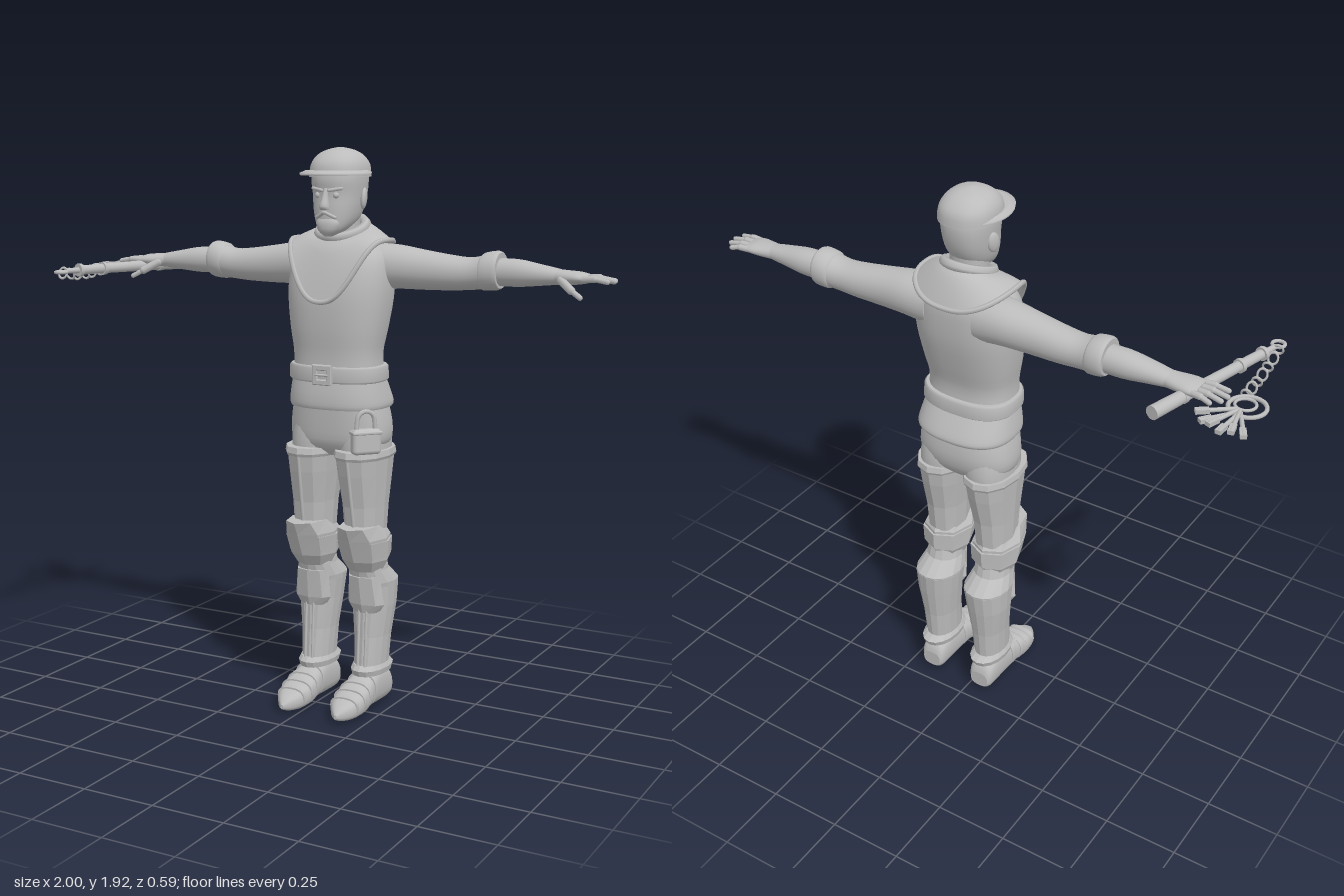
import * as THREE from 'three';
import { RoundedBoxGeometry } from 'three/addons/geometries/RoundedBoxGeometry.js';

const grey = new THREE.MeshStandardMaterial({ color: 0xbcbcbc });
grey.name = 'plain grey';
const greySheet = grey.clone(); // same colour, for open cloth
greySheet.side = THREE.DoubleSide;
greySheet.name = 'plain grey cloth';

const V = (x, y, z) => new THREE.Vector3(x, y, z);
const pw = (c, p) => Math.sign(c) * Math.pow(Math.abs(c), 2 / p);

function add(parent, name, geo, pos, mat = grey) {
  const m = new THREE.Mesh(geo, mat);
  m.name = name;
  if (pos) m.position.set(...pos);
  parent.add(m);
  return m;
}

// Smooth in-between rows for a loft
function refine(rows, sub) {
  const out = [];
  for (let i = 0; i < rows.length - 1; i++) {
    const a = rows[Math.max(i - 1, 0)], b = rows[i], c = rows[i + 1], d = rows[Math.min(i + 2, rows.length - 1)];
    for (let k = 0; k < sub; k++) {
      const t = k / sub;
      out.push(b.map((_, j) => b[j] + 0.5 * t * (c[j] - a[j] + t * (2 * a[j] - 5 * b[j] + 4 * c[j] - d[j] + t * (3 * (b[j] - c[j]) + d[j] - a[j])))));
    }
  }
  out.push(rows[rows.length - 1]);
  return out;
}

// Skin superellipse sections. Row: [along, centre u, half width u, v min, v max]
// axis y: u=x v=z; axis x: u=y v=z; axis z: u=x v=y
function loft(rows, { axis = 'y', p = 2.3, seg = 28, sub = 3, flat = false } = {}) {
  const r = refine(rows, sub), pos = [], idx = [];
  const put = (t, u, v) => pos.push(...(axis === 'y' ? [u, t, v] : axis === 'x' ? [t, u, v] : [u, v, t]));
  const ring = ([t, cu, hu, v0, v1]) => {
    for (let j = 0; j < seg; j++) {
      const a = j / seg * Math.PI * 2;
      put(t, cu + hu * pw(Math.cos(a), p), (v0 + v1) / 2 + (v1 - v0) / 2 * pw(Math.sin(a), p));
    }
  };
  const flip = (axis !== 'y') !== (r[r.length - 1][0] < r[0][0]);
  const tri = (a, b, c) => flip ? idx.push(a, c, b) : idx.push(a, b, c);
  r.forEach(ring);
  for (let i = 0; i < r.length - 1; i++) for (let j = 0; j < seg; j++) {
    const a = i * seg + j, b = i * seg + (j + 1) % seg;
    tri(a, a + seg, b);
    tri(b, a + seg, b + seg);
  }
  [r[0], r[r.length - 1]].forEach((row, end) => {
    const base = pos.length / 3;
    ring(row);
    put(row[0], row[1], (row[3] + row[4]) / 2);
    for (let j = 0; j < seg; j++) {
      const a = base + j, b = base + (j + 1) % seg;
      end ? tri(base + seg, b, a) : tri(base + seg, a, b);
    }
  });
  let g = new THREE.BufferGeometry();
  g.setAttribute('position', new THREE.Float32BufferAttribute(pos, 3));
  g.setIndex(idx);
  if (flat) g = g.toNonIndexed();
  g.computeVertexNormals();
  return g;
}

// Straight round bar between two points
function rod(parent, name, a, b, r0, r1 = r0, round = false) {
  const len = a.distanceTo(b);
  const m = add(parent, name, round ? new THREE.CapsuleGeometry(r0, len, 4, 8) : new THREE.CylinderGeometry(r1, r0, len, 14));
  m.position.copy(a).lerp(b, 0.5);
  m.quaternion.setFromUnitVectors(V(0, 1, 0), b.clone().sub(a).normalize());
  return m;
}
const tube = (pts, r, closed = false, n = 64) => new THREE.TubeGeometry(new THREE.CatmullRomCurve3(pts, closed), n, r, 6, closed);

function buildHead(body) {
  add(body, 'neck', loft([[1.54, 0, 0.068, -0.145, -0.015], [1.62, 0, 0.06, -0.13, -0.015], [1.72, 0, 0.062, -0.135, 0]]));
  add(body, 'head', loft([[1.632, 0, 0.022, -0.02, 0.03], [1.65, 0, 0.046, -0.06, 0.04], [1.68, 0, 0.066, -0.115, 0.043],
    [1.72, 0, 0.077, -0.145, 0.044], [1.765, 0, 0.083, -0.16, 0.042], [1.81, 0, 0.087, -0.165, 0.048], [1.85, 0, 0.085, -0.16, 0.04]]));
  add(body, 'nose', loft([[1.715, 0, 0.016, 0.03, 0.062], [1.727, 0, 0.016, 0.03, 0.07], [1.76, 0, 0.009, 0.03, 0.057], [1.785, 0, 0.008, 0.03, 0.048]], { seg: 12 }));
  add(body, 'beard', loft([[1.628, 0, 0.014, 0, 0.036], [1.645, 0, 0.034, -0.01, 0.05], [1.67, 0, 0.043, -0.01, 0.052], [1.685, 0, 0.036, 0, 0.047]]));
  for (const s of [-1, 1]) {
    rod(body, 'moustache', V(0.003 * s, 1.706, 0.052), V(0.033 * s, 1.69, 0.04), 0.006, 0.006, true);
    rod(body, 'eyebrow', V(0.014 * s, 1.778, 0.046), V(0.052 * s, 1.784, 0.032), 0.006, 0.006, true);
    add(body, 'eye', new THREE.SphereGeometry(0.011, 12, 8), [0.033 * s, 1.762, 0.032]);
    const ear = add(body, 'ear', new THREE.SphereGeometry(1, 14, 10), [0.085 * s, 1.75, -0.065]);
    ear.scale.set(0.011, 0.036, 0.023);
    ear.rotation.set(-0.2, 0.3 * s, 0);
  }
  add(body, 'capCrown', loft([[1.82, 0, 0.096, -0.172, 0.052], [1.86, 0, 0.092, -0.166, 0.045], [1.89, 0, 0.074, -0.14, 0.02],
    [1.908, 0, 0.043, -0.108, -0.012], [1.917, 0, 0.006, -0.066, -0.055]]));
  const brim = loft([[1.826, 0, 0.112, -0.166, 0.11], [1.834, 0, 0.113, -0.168, 0.113], [1.842, 0, 0.098, -0.166, 0.09]], { sub: 1, p: 2 });
  add(body, 'capBrim', brim);
}

// Draped collar with a pointed front
function buildCowl(body) {
  const at = (a, k) => {
    const c = Math.cos(a), s = Math.sin(a), h = Math.pow(k, 0.6);
    const yIn = 1.652 - 0.03 * s;
    const yOut = 1.615 - (s > 0 ? 0.2 * s * s * s : 0.05 * s * s);
    return V((0.078 * (1 - h) + 0.168 * h) * pw(c, 2 + 0.4 * k), yIn + (yOut - yIn) * k,
      -0.075 + (0.078 * (1 - h) + (s > 0 ? 0.16 : 0.148) * h) * pw(s, 2 + 0.4 * k));
  };
  const n = 48, rings = 8, pos = [], idx = [], loop = k => Array.from({ length: n }, (_, j) => at(j / n * Math.PI * 2, k));
  for (let i = 0; i <= rings; i++) loop(i / rings).forEach(q => pos.push(q.x, q.y, q.z));
  for (let i = 0; i < rings; i++) for (let j = 0; j < n; j++) {
    const a = i * n + j, b = i * n + (j + 1) % n;
    idx.push(a, b, a + n, b, b + n, a + n);
  }
  const g = new THREE.BufferGeometry();
  g.setAttribute('position', new THREE.Float32BufferAttribute(pos, 3));
  g.setIndex(idx);
  g.computeVertexNormals();
  add(body, 'cowl', g, null, greySheet);
  add(body, 'cowlHem', tube(loop(1), 0.009, true, 96));
  add(body, 'collarRoll', tube(loop(0), 0.017, true, 64));
}

function buildTorso(body) {
  add(body, 'tunic', loft([[1.17, 0, 0.155, -0.165, 0.06], [1.24, 0, 0.153, -0.16, 0.06], [1.32, 0, 0.166, -0.18, 0.068], [1.42, 0, 0.178, -0.203, 0.07],
    [1.5, 0, 0.178, -0.21, 0.06], [1.56, 0, 0.165, -0.208, 0.04], [1.6, 0, 0.128, -0.19, 0.01], [1.635, 0, 0.07, -0.15, -0.02]], { p: 2.5, seg: 40 }));
  add(body, 'tunicSkirt', loft([[1.055, 0, 0.17, -0.215, 0.066], [1.07, 0, 0.174, -0.22, 0.07], [1.11, 0, 0.168, -0.2, 0.068], [1.16, 0, 0.158, -0.17, 0.06]], { p: 2.5, seg: 40 }));
  add(body, 'belt', loft([[1.145, 0, 0.163, -0.176, 0.066], [1.152, 0, 0.169, -0.183, 0.072], [1.193, 0, 0.168, -0.18, 0.072], [1.2, 0, 0.162, -0.173, 0.066]], { p: 2.5, seg: 40, sub: 1 }));
  const frame = new THREE.Shape([[-1, -1], [1, -1], [1, 1], [-1, 1]].map(([x, y]) => new THREE.Vector2(x * 0.033, y * 0.031)));
  frame.holes.push(new THREE.Path([[-1, -1], [-1, 1], [1, 1], [1, -1]].map(([x, y]) => new THREE.Vector2(x * 0.02, y * 0.018))));
  add(body, 'beltBuckle', new THREE.ExtrudeGeometry(frame, { depth: 0.01, bevelSize: 0.003, bevelThickness: 0.003, bevelSegments: 1 }), [0.005, 1.173, 0.069]);
  rod(body, 'bucklePin', V(-0.02, 1.173, 0.08), V(0.03, 1.173, 0.08), 0.004);
  add(body, 'hips', loft([[0.89, 0, 0.1, -0.15, 0], [0.93, 0, 0.168, -0.185, 0.035], [1, 0, 0.176, -0.197, 0.045], [1.1, 0, 0.155, -0.18, 0.05]], { p: 2.5, seg: 40 }));
}

function buildArm(body, s) {
  const side = rows => rows.map(([x, ...rest]) => [x * s, ...rest]);
  const limb = (name, rows, o = {}) => add(body, name, loft(side(rows), { axis: 'x', p: 2.1, ...o }));
  limb('sleeve', [[0.09, 1.52, 0.082, -0.205, -0.04], [0.18, 1.525, 0.074, -0.205, -0.05], [0.28, 1.518, 0.066, -0.195, -0.062],
    [0.38, 1.512, 0.058, -0.192, -0.07], [0.45, 1.512, 0.053, -0.19, -0.075], [0.5, 1.52, 0.057, -0.196, -0.075]]);
  limb('sleeveCuff', [[0.485, 1.518, 0.054, -0.193, -0.08], [0.495, 1.52, 0.062, -0.202, -0.073], [0.535, 1.525, 0.064, -0.204, -0.074], [0.548, 1.525, 0.058, -0.196, -0.08]], { sub: 2 });
  limb('forearm', [[0.5, 1.52, 0.044, -0.183, -0.095], [0.6, 1.52, 0.045, -0.185, -0.09], [0.68, 1.517, 0.035, -0.175, -0.093], [0.75, 1.514, 0.025, -0.165, -0.1]]);
  limb('palm', [[0.74, 1.514, 0.025, -0.165, -0.1], [0.78, 1.513, 0.023, -0.172, -0.09], [0.82, 1.513, 0.02, -0.178, -0.082], [0.85, 1.512, 0.013, -0.176, -0.085]]);
  [[0.9, -0.179], [0.925, -0.153], [0.932, -0.122], [0.92, -0.09]].forEach(([tip, z], i) => {
    const z0 = -0.166 + i * 0.024;
    rod(body, 'finger', V(0.835 * s, 1.512, z0), V((0.835 + tip) / 2 * s, 1.514, (z0 + z) / 2), 0.011, 0.011, true);
    rod(body, 'fingertip', V((0.835 + tip) / 2 * s, 1.514, (z0 + z) / 2), V(tip * s, 1.507, z), 0.0085, 0.0085, true);
  });
  rod(body, 'thumbBase', V(0.765 * s, 1.506, -0.1), V(0.81 * s, 1.478, -0.07), 0.014, 0.014, true);
  rod(body, 'thumb', V(0.81 * s, 1.478, -0.07), V(0.845 * s, 1.458, -0.056), 0.009, 0.009, true);
}

function buildLeg(body, s) {
  const limb = (name, rows, o = {}) => add(body, name, loft(rows.map(([t, c, ...rest]) => [t, c * s, ...rest]), o));
  const plate = { flat: true, sub: 1, seg: 12, p: 2.1 };
  limb('thigh', [[0.5, 0.1, 0.058, -0.15, -0.015], [0.7, 0.096, 0.064, -0.155, 0.01], [0.9, 0.09, 0.08, -0.19, 0.035], [0.99, 0.085, 0.08, -0.18, 0.03]]);
  limb('thighPlate', [[0.62, 0.098, 0.066, -0.155, 0.02], [0.72, 0.097, 0.072, -0.165, 0.03], [0.83, 0.094, 0.083, -0.19, 0.055], [0.905, 0.093, 0.09, -0.202, 0.068]], plate);
  limb('thighRim', [[0.885, 0.093, 0.09, -0.204, 0.07], [0.895, 0.093, 0.095, -0.209, 0.075], [0.915, 0.093, 0.092, -0.205, 0.071]], plate);
  rod(body, 'thighRidge', V(0.098 * s, 0.64, 0.02), V(0.093 * s, 0.9, 0.067), 0.006);
  limb('kneeCop', [[0.49, 0.1, 0.06, -0.14, -0.005], [0.53, 0.1, 0.08, -0.16, 0.025], [0.61, 0.1, 0.085, -0.163, 0.06], [0.655, 0.1, 0.066, -0.13, 0.083]], { ...plate, seg: 8 });
  limb('kneeStrap', [[0.54, 0.1, 0.083, -0.168, 0.03], [0.6, 0.1, 0.089, -0.17, 0.055]], { ...plate, seg: 8 });
  limb('greave', [[0.13, 0.104, 0.053, -0.185, -0.025], [0.25, 0.104, 0.06, -0.195, -0.035], [0.36, 0.104, 0.074, -0.212, -0.038], [0.44, 0.101, 0.081, -0.222, -0.03]], { ...plate, seg: 16 });
  limb('greaveTop', [[0.43, 0.101, 0.08, -0.22, -0.03], [0.445, 0.101, 0.081, -0.222, -0.024], [0.49, 0.1, 0.066, -0.165, -0.012], [0.54, 0.1, 0.06, -0.15, -0.01]], { ...plate, seg: 16 });
  limb('shinGuard', [[0.34, 0.104, 0.05, -0.1, -0.032], [0.37, 0.104, 0.069, -0.1, -0.022], [0.47, 0.101, 0.06, -0.1, -0.008]], { ...plate, seg: 8 });
  for (const d of [-0.014, 0.014]) rod(body, 'shinRidge', V(0.104 * s + d, 0.14, -0.027), V(0.104 * s + d, 0.36, -0.038), 0.005);
  limb('ankleCuff', [[0.115, 0.104, 0.058, -0.205, -0.012], [0.135, 0.104, 0.062, -0.214, -0.005], [0.15, 0.104, 0.055, -0.19, -0.02]], { ...plate, seg: 16 });

  // Pointed armoured shoe
  const foot = { axis: 'z', p: 2.6, seg: 20 };
  const shoe = [[-0.195, 0.104, 0.035, 0.012, 0.07], [-0.175, 0.104, 0.046, 0, 0.11], [-0.1, 0.104, 0.05, 0, 0.135], [-0.02, 0.104, 0.054, 0.006, 0.115],
    [0.04, 0.104, 0.06, 0, 0.094], [0.1, 0.104, 0.05, 0, 0.07], [0.14, 0.104, 0.026, 0.006, 0.05], [0.162, 0.104, 0.005, 0.018, 0.032]];
  limb('shoe', shoe, foot);
  [[-0.03, 0.057, 0.124], [0.02, 0.061, 0.107], [0.06, 0.061, 0.092], [0.1, 0.053, 0.076]].forEach(([z, w, h]) =>
    limb('shoeLame', [[z - 0.022, 0.104, w - 0.001, 0.008, h + 0.002], [z, 0.104, w, 0.008, h]], { ...foot, sub: 1 }));
}

function buildPadlock(model) {
  const lock = new THREE.Group();
  lock.name = 'padlock';
  lock.position.set(0.238, 0.968, 0.092);
  lock.rotation.y = 0.85;
  add(lock, 'lockBody', new RoundedBoxGeometry(0.1, 0.085, 0.042, 3, 0.014));
  add(lock, 'lockBand', new RoundedBoxGeometry(0.104, 0.012, 0.046, 2, 0.005), [0, 0.03, 0]);
  const arc = Array.from({ length: 9 }, (_, i) => V(0.03 * Math.cos(i / 8 * Math.PI), 0.07 + 0.03 * Math.sin(i / 8 * Math.PI), 0));
  add(lock, 'shackle', tube([V(0.034, 0.03, 0), ...arc, V(-0.034, 0.03, 0)], 0.008, false, 32));
  model.add(lock);
}

function buildKeys(model) {
  const y = 1.485;
  // Baton with a ring on its tip
  const at = (t, dy = 0) => V(-0.715 - 0.145 * t, y + 0.007 + dy, -0.295 + 0.535 * t);
  rod(model, 'batonHandle', at(0), at(0.25), 0.023, 0.021);
  rod(model, 'batonShaft', at(0.22), at(0.9), 0.02, 0.016);
  rod(model, 'batonTip', at(0.88), at(1), 0.011, 0.009);
  for (const t of [0.24, 0.7, 0.89]) rod(model, 'batonBand', at(t - 0.012), at(t + 0.012), 0.023);
  add(model, 'batonRing', new THREE.TorusGeometry(0.02, 0.006, 8, 20), [-0.861, y + 0.005, 0.262]).rotation.x = Math.PI / 2;
  // Key ring and fanned keys
  const c = V(-0.93, y, -0.107);
  add(model, 'keyRing', new THREE.TorusGeometry(0.057, 0.007, 8, 36), c.toArray()).rotation.x = Math.PI / 2;
  add(model, 'innerRing', new THREE.TorusGeometry(0.032, 0.005, 8, 28), [-0.925, y + 0.008, -0.11]).rotation.x = Math.PI / 2;
  for (let i = 0; i < 6; i++) {
    const a = -0.5 + i * 0.28, dir = V(Math.sin(a), 0, -Math.cos(a)), base = V(-0.922, y + (i % 2) * 0.01 - 0.002, -0.135);
    const to = d => base.clone().addScaledVector(dir, d);
    rod(model, 'keyShank', to(0.01), to(0.13), 0.006, 0.008);
    const bit = add(model, 'keyBit', new THREE.BoxGeometry(0.02, 0.014, 0.042), to(0.115).toArray());
    bit.rotation.y = -a;
  }
  // Chain from the ring to the baton tip
  for (let i = 0; i < 7; i++) {
    const t = i / 6, link = add(model, 'chainLink', new THREE.TorusGeometry(0.019, 0.0045, 6, 16),
      [-0.897 + 0.026 * t, y - 0.012 * Math.sin(Math.PI * t), -0.045 + 0.285 * t]);
    link.scale.x = 0.8;
    link.rotation.set(i % 2 ? 0.35 : -0.35, 0.2, 0);
  }
}

export function createModel() {
  const model = new THREE.Group();
  model.name = 'guardFigure';
  const body = new THREE.Group();
  body.name = 'body';
  body.position.x = 0.06;
  model.add(body);
  buildHead(body);
  buildCowl(body);
  buildTorso(body);
  for (const s of [-1, 1]) {
    buildArm(body, s);
    buildLeg(body, s);
  }
  buildPadlock(model);
  buildKeys(model);
  return model;
}
